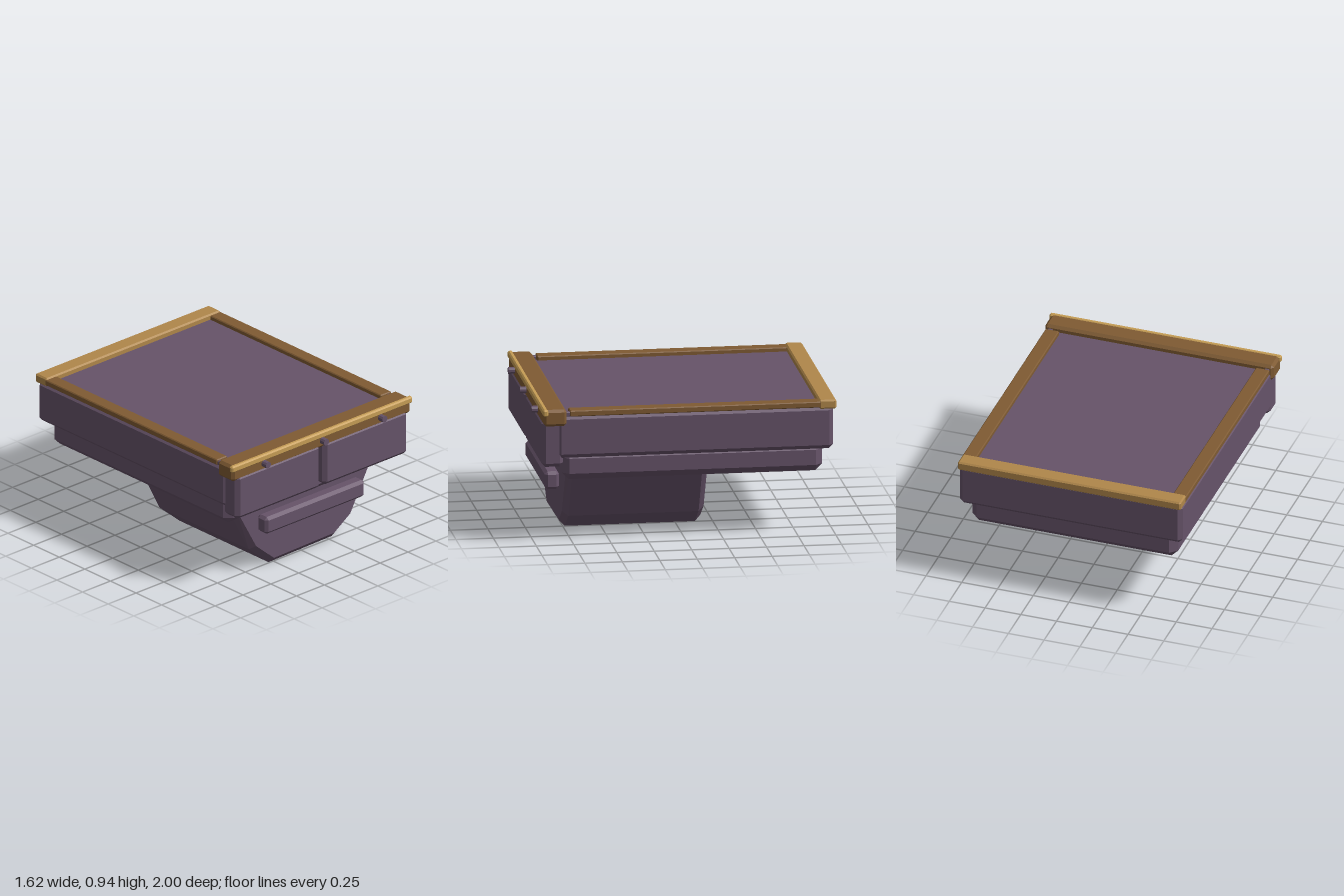
import * as THREE from 'three';
import { ConvexGeometry } from 'three/addons/geometries/ConvexGeometry.js';

const mat = (name, color) => {
  const m = new THREE.MeshStandardMaterial({ color });
  m.name = name;
  return m;
};

// Box with flat chamfered edges, given by its min and max on each axis
function chamferBox([x0, x1], [y0, y1], [z0, z1], c) {
  const points = [];
  const half = [(x1 - x0) / 2, (y1 - y0) / 2, (z1 - z0) / 2];
  for (const sx of [-1, 1]) for (const sy of [-1, 1]) for (const sz of [-1, 1]) {
    for (let axis = 0; axis < 3; axis++) {
      const p = [sx, sy, sz].map((s, i) => s * (half[i] - (i === axis ? 0 : c)));
      points.push(new THREE.Vector3(...p));
    }
  }
  return new ConvexGeometry(points).translate((x0 + x1) / 2, (y0 + y1) / 2, (z0 + z1) / 2);
}

export function createModel() {
  const purple = mat('dusty purple', 0x665369);
  const brown = mat('dark wood', 0x7f5b33);
  const tan = mat('light wood', 0xb0874a);
  const gold = mat('pale gold wood', 0xc69d55);

  const model = new THREE.Group();
  const add = (name, geometry, material) => {
    const mesh = new THREE.Mesh(geometry, material);
    mesh.name = name;
    model.add(mesh);
    return mesh;
  };
  const box = (name, x, y, z, c, material) => add(name, chamferBox(x, y, z, c), material);

  // Stacked body
  box('upperBody', [-0.78, 0.78], [0.6, 0.893], [-0.98, 0.865], 0.028, purple);
  box('lowerBody', [-0.72, 0.72], [0.433, 0.63], [-0.92, 0.82], 0.047, purple);
  box('topPanel', [-0.7, 0.7], [0.85, 0.897], [-0.9, 0.83], 0.004, purple);

  // Faceted belly with bevelled ends, its upper edge hidden in the lower body
  const profile = [
    [-0.606, 0.5], [-0.43, 0.182], [-0.27, 0.045], [0.27, 0.055], [0.415, 0.152], [0.606, 0.5],
  ].map(([x, y]) => new THREE.Vector2(x, y));
  const belly = new THREE.ExtrudeGeometry(new THREE.Shape(profile), {
    depth: 0.87, bevelEnabled: true, bevelSegments: 1, bevelSize: 0.04, bevelThickness: 0.038,
  });
  belly.translate(0, 0, -0.128);
  add('belly', belly, purple);

  // Front panels and the bar below them
  for (const [side, s] of [['left', 1], ['right', -1]]) {
    const x = [0.015, 0.768].map((v) => v * s).sort((a, b) => a - b);
    box(side + 'FrontPanel', x, [0.54, 0.86], [0.82, 0.965], 0.026, purple);
  }
  box('frontBar', [-0.445, 0.445], [0.305, 0.427], [0.8, 0.897], 0.02, purple);

  // Top frame
  for (const [side, s] of [['left', 1], ['right', -1]]) {
    const x = [0.688, 0.783].map((v) => v * s).sort((a, b) => a - b);
    box(side + 'Rail', x, [0.885, 0.925], [-0.9, 0.78], 0.006, brown);
    const b = [0.74, 0.775].map((v) => v * s).sort((a, b) => a - b);
    box(side + 'RailPin', b, [0.885, 0.915], [0.77, 0.83], 0.006, purple);
  }
  box('backRail', [-0.78, 0.78], [0.873, 0.935], [-1, -0.885], 0.01, tan);
  box('frontBeam', [-0.8, 0.8], [0.825, 0.938], [0.803, 0.957], 0.018, brown);
  box('frontLip', [-0.81, 0.81], [0.896, 0.942], [0.928, 0.962], 0.009, gold);

  // Pegs on the front beam
  for (const x of [-0.522, 0, 0.522]) {
    const peg = new THREE.CylinderGeometry(0.023, 0.023, 0.08, 10).toNonIndexed();
    peg.computeVertexNormals();
    peg.rotateX(Math.PI / 2);
    add('peg', peg, purple).position.set(x, 0.88, 0.96);
  }
  return model;
}
